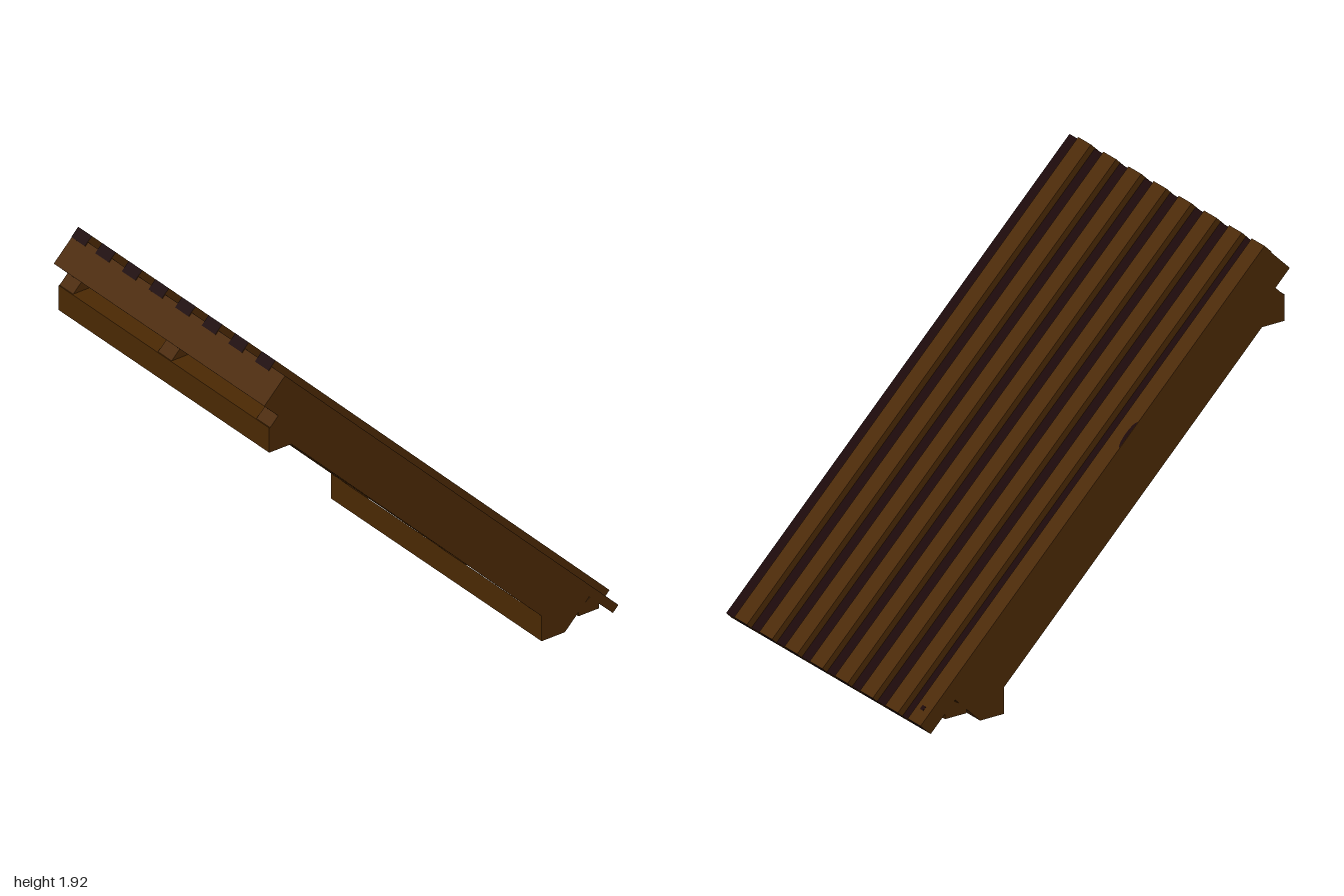
import * as THREE from 'three';

const brown = new THREE.MeshStandardMaterial({ color: 0x4a2803 });
brown.name = 'brown wood';
const dark = new THREE.MeshStandardMaterial({ color: 0x190304 });
dark.name = 'dark wood';

const HALF = 0.775; // half of the roof width along z
const R = Math.SQRT1_2;

function add(parent, name, geometry, material, x, y, z) {
  const mesh = new THREE.Mesh(geometry, material);
  mesh.position.set(x, y, z);
  mesh.name = name;
  parent.add(mesh);
  return mesh;
}

function box(parent, name, material, [x0, x1], [y0, y1], [z0, z1]) {
  const geometry = new THREE.BoxGeometry(x1 - x0, y1 - y0, z1 - z0);
  return add(parent, name, geometry, material, (x0 + x1) / 2, (y0 + y1) / 2, (z0 + z1) / 2);
}

// Prism with an x-y outline, running along z
function prism(parent, name, outline, [z0, z1]) {
  const shape = new THREE.Shape(outline.map(([x, y]) => new THREE.Vector2(x, y)));
  const geometry = new THREE.ExtrudeGeometry(shape, { depth: z1 - z0, bevelEnabled: false });
  return add(parent, name, geometry, brown, 0, 0, z0);
}

export function createModel() {
  const model = new THREE.Group();
  model.name = 'roofSection';

  // Everything on the pitch is built flat, then tilted by 45 degrees.
  // Ranges are x - y (down the slope) and x + y (out of the slope).
  const slope = new THREE.Group();
  slope.name = 'slopedRoof';
  slope.rotation.z = -Math.PI / 4;
  model.add(slope);
  const sloped = (name, mat, along, out, z) =>
    box(slope, name, mat, along.map(v => v * R), out.map(v => v * R), z);

  // Thin dark sheet, its edges hidden by the boards around it
  sloped('roofSheet', dark, [-2.774, 0.944], [0.986, 1.012], [0.001 - HALF, HALF - 0.001]);

  // Raised battens with dark cut ends, let through the sheet; the last is flush with the edge
  const battenMaterials = [dark, dark, brown, brown, brown, brown];
  for (let i = 0; i < 8; i++) {
    const z = Math.max(0.05 - HALF, 0.627 - i * 0.196);
    sloped('batten', battenMaterials, [-2.78, 0.948], [0.98, 1.058], [z - 0.05, z + 0.05]);
  }

  // Boards across the upper and lower ends
  sloped('ridgeBoard', brown, [-2.775, -2.62], [0.78, 1.01], [-HALF, HALF]);
  sloped('eaveBoard', brown, [0.68, 0.945], [0.95, 1.01], [-HALF, HALF]);

  // Three rafters under the sheet
  for (const z of [0.05 - HALF, 0, HALF - 0.05]) {
    sloped('rafter', brown, [-2.62, 0.68], [0.68, 1.01], [z - 0.05, z + 0.05]);
  }

  // Knot and nail hole on the rearmost batten
  const knot = add(slope, 'knot', new THREE.CircleGeometry(1, 16, Math.PI, Math.PI), dark,
    -1.31 * R, 1.061 * R, -HALF);
  knot.rotation.x = -Math.PI / 2;
  knot.scale.set(0.07, 0.022, 1);
  sloped('nailHole', dark, [0.825, 0.855], [1.055, 1.06], [-0.73, -0.705]);

  // Level upper beam carrying the rafters
  box(model, 'upperBeam', brown, [-0.97, -0.84], [1.527, 1.655], [-HALF, HALF]);

  // Lower beam, open towards the eave: inner face, underside and closed ends
  const face = add(model, 'lowerBeamFace', new THREE.PlaneGeometry(2 * HALF, 0.13), brown, 0.55, 0.065, 0);
  face.rotation.y = -Math.PI / 2;
  const base = add(model, 'lowerBeamUnderside', new THREE.PlaneGeometry(0.13, 2 * HALF), brown, 0.615, 0, 0);
  base.rotation.x = Math.PI / 2;
  for (const z of [-HALF, HALF - 0.02]) {
    prism(model, 'lowerBeamEnd', [[0.55, 0], [0.68, 0], [0.55, 0.13]], [z, z + 0.02]);
  }

  // Eave strip below the eave board
  prism(model, 'eaveStrip',
    [[0.755, 0.055], [0.87, 0.055], [0.87, 0.08], [0.82, 0.13], [0.755, 0.09]], [-HALF, HALF]);

  return model;
}
